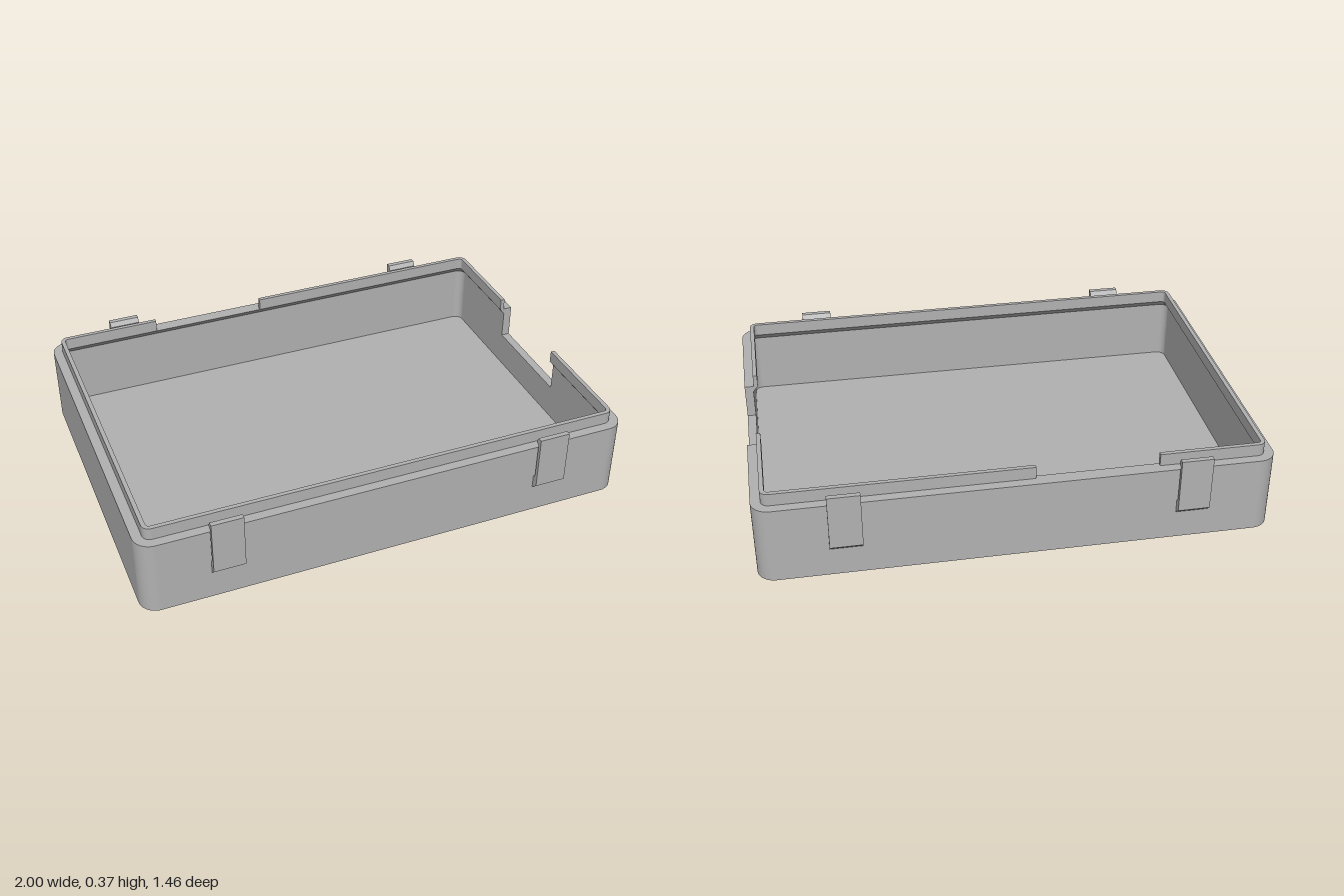
import * as THREE from 'three';

const HX = 1, HZ = 0.705, R = 0.07;
const CUT_FRONT = 0.2, CUT_BACK = -0.247;

// Stations [x, z, nx, nz] around one rounded corner (quarter 0..3, from +x towards +z)
function corner(q, n = 10) {
  const mid = (q + 0.5) * Math.PI / 2;
  const cx = Math.sign(Math.cos(mid)) * (HX - R), cz = Math.sign(Math.sin(mid)) * (HZ - R);
  return Array.from({ length: n + 1 }, (_, i) => {
    const a = (q + i / n) * Math.PI / 2, c = Math.cos(a), s = Math.sin(a);
    return [cx + R * c, cz + R * s, c, s];
  });
}

// Sweep a closed profile of [inset, y] points along the stations
function sweep(profile, path, closed) {
  const pos = [], idx = [], m = profile.length;
  const put = (s, p) => pos.push(s[0] - s[2] * p[0], p[1], s[1] - s[3] * p[0]);
  const stations = closed ? [...path, path[0]] : path;
  for (let k = 0; k < m; k++) {
    const b = pos.length / 3;
    for (const s of stations) { put(s, profile[k]); put(s, profile[(k + 1) % m]); }
    for (let i = 0; i < stations.length - 1; i++) {
      const a = b + 2 * i;
      idx.push(a, a + 1, a + 3, a, a + 3, a + 2);
    }
  }
  if (!closed) {
    [path[path.length - 1], path[0]].forEach((s, end) => {
      const b = pos.length / 3;
      profile.forEach(p => put(s, p));
      for (let k = 1; k < m - 1; k++) idx.push(b, b + (end ? k + 1 : k), b + (end ? k : k + 1));
    });
  }
  const g = new THREE.BufferGeometry();
  g.setAttribute('position', new THREE.Float32BufferAttribute(pos, 3));
  g.setIndex(idx);
  g.computeVertexNormals();
  return g;
}

export function createModel() {
  const group = new THREE.Group();
  const grey = new THREE.MeshStandardMaterial({ color: 0xb2b2b2 });
  grey.name = 'grey plastic';
  const add = (name, geometry) => {
    const mesh = new THREE.Mesh(geometry, grey);
    mesh.name = name;
    group.add(mesh);
    return mesh;
  };

  const c = [0, 1, 2, 3].map(q => corner(q));
  const cutStart = [HX, CUT_FRONT, 1, 0], cutEnd = [HX, CUT_BACK, 1, 0];

  // Floor plate, filling the lower wall ring
  const outline = new THREE.Shape(c.flat().map(s => new THREE.Vector2(s[0] - s[2] * 0.035, s[1] - s[3] * 0.035)));
  const floor = new THREE.ExtrudeGeometry(outline, { depth: 0.035, bevelEnabled: false });
  floor.rotateX(Math.PI / 2).translate(0, 0.035, 0);
  add('floor', floor);

  // Lower wall all round
  add('lowerWall', sweep([[0, 0.175], [0.035, 0.175], [0.035, 0], [0, 0]], c.flat(), true));

  // Upper wall with sloped inner ledge, open at the side cutout
  add('upperWall', sweep(
    [[0, 0.315], [0.055, 0.315], [0.035, 0.29], [0.035, 0.175], [0, 0.175]],
    [cutStart, ...c.flat(), cutEnd], false));

  // Raised lip in two runs, leaving a gap at the back
  const lip = [[0.038, 0.365], [0.055, 0.365], [0.055, 0.315], [0.038, 0.315]];
  add('longLip', sweep(lip, [cutStart, ...c[0], ...c[1], ...c[2], [-0.54, -HZ, 0, -1]], false));
  add('shortLip', sweep(lip, [[-0.06, -HZ, 0, -1], ...c[3], cutEnd], false));

  // Snap clips, two on the front and two on the back
  const side = new THREE.Shape([
    [0.7, 0.12], [0.708, 0.12], [0.732, 0.142], [0.732, 0.365], [0.712, 0.365], [0.7, 0.346],
    [0.702, 0.34], [0.716, 0.334], [0.716, 0.185], [0.711, 0.175], [0.7, 0.175],
  ].map(p => new THREE.Vector2(...p)));
  const W = 0.125;
  const clip = new THREE.ExtrudeGeometry(side, { depth: W, bevelEnabled: false });
  clip.rotateY(-Math.PI / 2).translate(W / 2, 0, 0);
  for (const x of [-0.668, 0.664]) {
    add('frontClip', clip).position.x = x;
    const back = add('backClip', clip);
    back.position.x = x;
    back.rotation.y = Math.PI;
  }
  return group;
}
